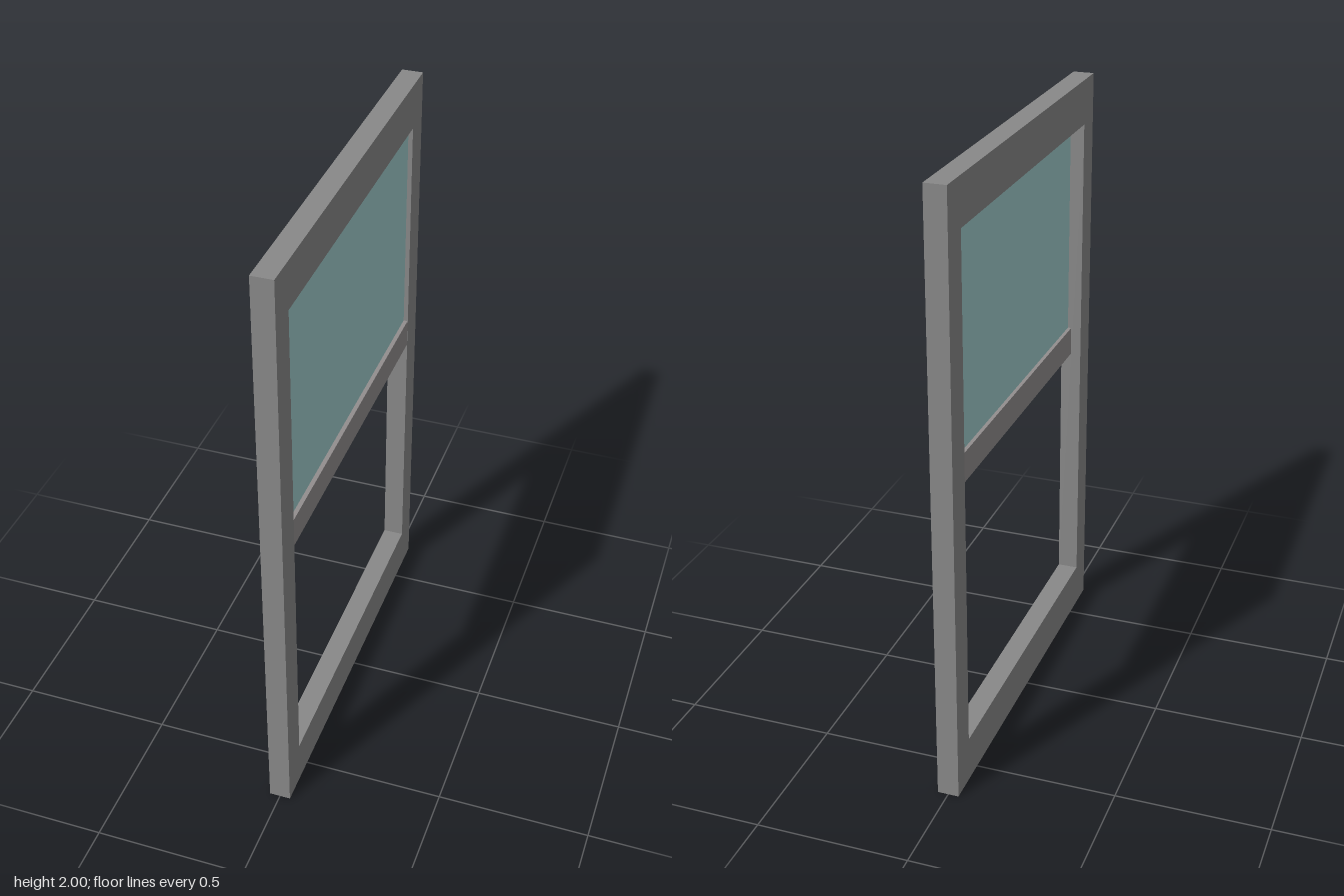
import * as THREE from 'three';

const HALF_DEPTH = 0.035;
const OPENING = { halfWidth: 0.57, bottom: 0.153, top: 1.85 };

const frameMaterial = new THREE.MeshStandardMaterial({ color: 0x888888 });
const railMaterial = new THREE.MeshStandardMaterial({ color: 0x928e8e });
const glassMaterial = new THREE.MeshStandardMaterial({ color: 0xa0cccc });

// Rectangle outline in the window plane
function rectangle(PathType, halfWidth, bottom, top) {
  return new PathType([
    new THREE.Vector2(-halfWidth, bottom),
    new THREE.Vector2(halfWidth, bottom),
    new THREE.Vector2(halfWidth, top),
    new THREE.Vector2(-halfWidth, top),
  ]);
}

// Box spanning the opening between two heights and two depths
function panel(name, material, [x0, x1], [y0, y1]) {
  const geometry = new THREE.BoxGeometry(x1 - x0, y1 - y0, OPENING.halfWidth * 2);
  const mesh = new THREE.Mesh(geometry, material);
  mesh.name = name;
  mesh.position.set((x0 + x1) / 2, (y0 + y1) / 2, 0);
  return mesh;
}

export function createModel() {
  const model = new THREE.Group();
  model.name = 'sashWindow';

  // Outer frame with one tall opening
  const outline = rectangle(THREE.Shape, 0.667, 0, 2);
  outline.holes.push(rectangle(THREE.Path, OPENING.halfWidth, OPENING.bottom, OPENING.top));
  const frameGeometry = new THREE.ExtrudeGeometry(outline, { depth: HALF_DEPTH * 2, bevelEnabled: false });
  frameGeometry.translate(0, 0, -HALF_DEPTH);
  frameGeometry.rotateY(Math.PI / 2);
  const frame = new THREE.Mesh(frameGeometry, frameMaterial);
  frame.name = 'frame';
  model.add(frame);

  // Rail and upper pane sit towards the outer face; the lower half is open
  model.add(panel('meetingRail', railMaterial, [0, 0.034], [1.02, 1.118]));
  model.add(panel('upperGlass', glassMaterial, [0.012, 0.02], [1.118, OPENING.top]));

  return model;
}
